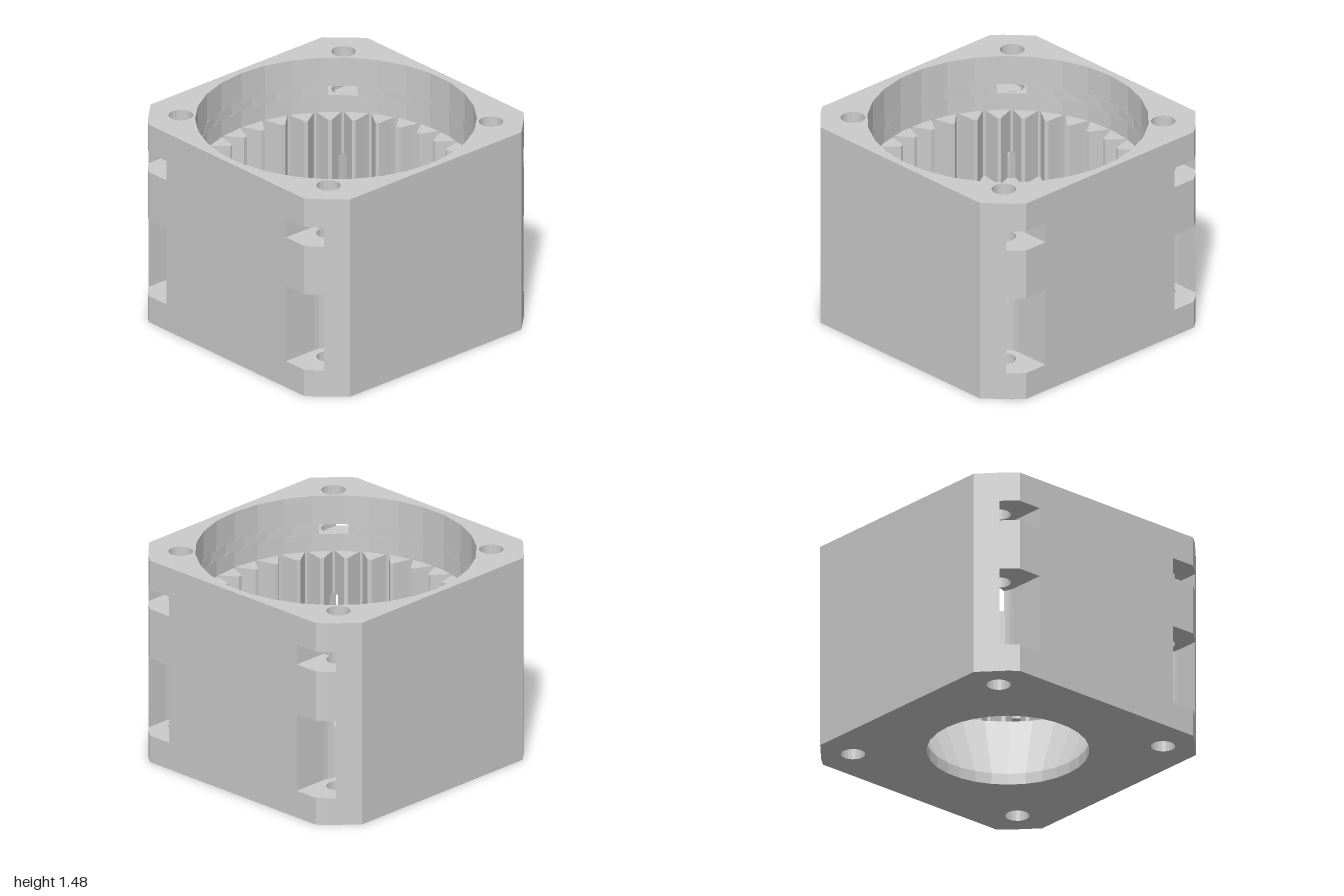
import * as THREE from 'three';

const material = new THREE.MeshStandardMaterial({ color: 0xcccccc, flatShading: true });
const RAD = Math.PI / 180;

// Main sizes
const HEIGHT = 1.475, BORE = 0.95, SEAT = 0.78, SEAT_TOP = 0.575, GEAR_TOP = 1.07;
const BOLT = 0.74, BOLT_R = 0.083, POCKET_R = 0.14, TEETH = 32;

// Points along an arc, angles in degrees
function arc(cx, cy, r, a0, a1, n) {
  return Array.from({ length: n + 1 }, (_, i) => {
    const a = (a0 + (a1 - a0) * i / n) * RAD;
    return [cx + r * Math.cos(a), cy + r * Math.sin(a)];
  });
}
const circle = (x, y, r, n) => arc(x, y, r, 0, 360, n).slice(0, -1);
const mirror = (pts, sx, sy) => pts.map(([x, y]) => [x * sx, y * sy]);
const flip = (pts) => [...pts].reverse();

// One flank of a tooth gap: [radius, half width], from tip to root
const FLANK = [[0.82, 0.068], [0.86, 0.05], [0.9093, 0.028], [0.95, 0.008]];
function flank(deg, side, count) {
  const a = deg * RAD;
  return FLANK.slice(0, count).map(([r, t]) => [
    r * Math.cos(a) - side * t * Math.sin(a),
    r * Math.sin(a) + side * t * Math.cos(a),
  ]);
}
const gap = (deg) => [...flank(deg, -1, 4), ...flip(flank(deg, 1, 4))];

// Full toothed outline, and the part between two gaps that open into pockets
const gearOutline = () => Array.from({ length: TEETH }, (_, i) => gap(i * 360 / TEETH)).flat();
function gearBetween(a0, a1) {
  const step = 360 / TEETH, pts = flip(flank(a0, 1, 3));
  for (let a = a0 + step; a < a1 - step / 2; a += step) pts.push(...gap(a));
  return [...pts, ...flank(a1, -1, 3)];
}

// Corner contours, running from the front face round to the side
const chamfer = [[0.78, 1], [0.85, 0.94]];
const pocketIn = [0.6, 1], pocketOut = [0.88, 0.908];
const roundPocket = [pocketIn, ...arc(BOLT, BOLT, POCKET_R, 180, 360, 12), pocketOut];
const squarePocket = [pocketIn, [0.6, BOLT], ...arc(BOLT, BOLT, BOLT_R, 180, 360, 10),
  [0.88, BOLT], pocketOut];

// Closed body outline with the same corner on all four edges
function bodyOutline(corner) {
  return [
    [1, -0.78], [1, 0.78], ...flip(corner), ...mirror(corner, -1, 1),
    [-1, 0.78], [-1, -0.78], ...flip(mirror(corner, -1, -1)), ...mirror(corner, 1, -1),
  ];
}

// Four wall pieces where the pockets break through into the bore
function splitPieces(inner, outer, frontContour, sideContour) {
  const front = [...inner, ...frontContour, ...flip(mirror(inner, -1, 1))];
  const side = [...outer, [1, 0.78], [1, -0.78], ...flip(mirror(outer, 1, -1)), ...sideContour];
  return [front, side, mirror(front, -1, -1), mirror(side, -1, -1)];
}

const toVectors = (pts) => pts.map(([x, y]) => new THREE.Vector2(x, y));

export function createModel() {
  const model = new THREE.Group();
  model.name = 'gearHousing';

  // Upright slab from a plan outline with openings
  function slab(name, y0, y1, outline, holes = []) {
    const shape = new THREE.Shape(toVectors(outline));
    holes.forEach((h) => shape.holes.push(new THREE.Path(toVectors(h))));
    const geo = new THREE.ExtrudeGeometry(shape, { depth: y1 - y0, bevelEnabled: false });
    geo.rotateX(-Math.PI / 2).translate(0, y0, 0);
    const mesh = new THREE.Mesh(geo, material);
    mesh.name = name;
    model.add(mesh);
  }

  const plain = bodyOutline(chamfer);
  const bolts = [[1, 1], [-1, 1], [-1, -1], [1, -1]].map(([sx, sy]) =>
    circle(sx * BOLT, sy * BOLT, BOLT_R, 20));
  const bore = circle(0, 0, BORE, 30), seat = circle(0, 0, SEAT, 30);

  // Base and the lower part of the tall bolt pockets
  slab('base', 0, 0.195, plain, [seat, ...bolts]);
  slab('lowerPocketWall', 0.195, SEAT_TOP, bodyOutline(roundPocket), [seat]);

  // Tapered seat in the floor
  const seatProfile = [[SEAT, SEAT_TOP], [0.55, 0.08], [0.55, 0], [SEAT, 0]];
  const taper = new THREE.Mesh(
    new THREE.LatheGeometry(toVectors(seatProfile), 30, Math.PI / 2), material);
  taper.name = 'taperedSeat';
  model.add(taper);

  // Ring gear: tall pockets open into the corner tooth gaps
  const open = Math.asin(0.028 / POCKET_R) / RAD;
  splitPieces(
    [pocketIn, ...arc(BOLT, BOLT, POCKET_R, 180, 225 - open, 4)],
    [...arc(BOLT, BOLT, POCKET_R, 225 + open, 360, 9), pocketOut],
    gearBetween(45, 135), gearBetween(-45, 45),
  ).forEach((p) => slab('ringGearPocketWall', SEAT_TOP, 0.76, p));
  slab('ringGear', 0.76, GEAR_TOP, plain, [gearOutline(), ...bolts]);

  // Upper bore with the short stepped pockets
  slab('boreWall', GEAR_TOP, 1.12, plain, [bore, ...bolts]);
  slab('upperPocketStep', 1.12, 1.195, bodyOutline(squarePocket), [bore]);
  const edge = Math.atan2(0.6, BOLT) / RAD;
  splitPieces(
    [pocketIn, [0.6, BOLT]],
    [...arc(BOLT, BOLT, POCKET_R, 270, 360, 6), pocketOut],
    arc(0, 0, BORE, 90 - edge, 90 + edge, 7), arc(0, 0, BORE, -edge, edge, 7),
  ).forEach((p) => slab('upperPocketWall', 1.195, 1.265, p));
  slab('topRim', 1.265, HEIGHT, plain, [bore, ...bolts]);

  return model;
}
